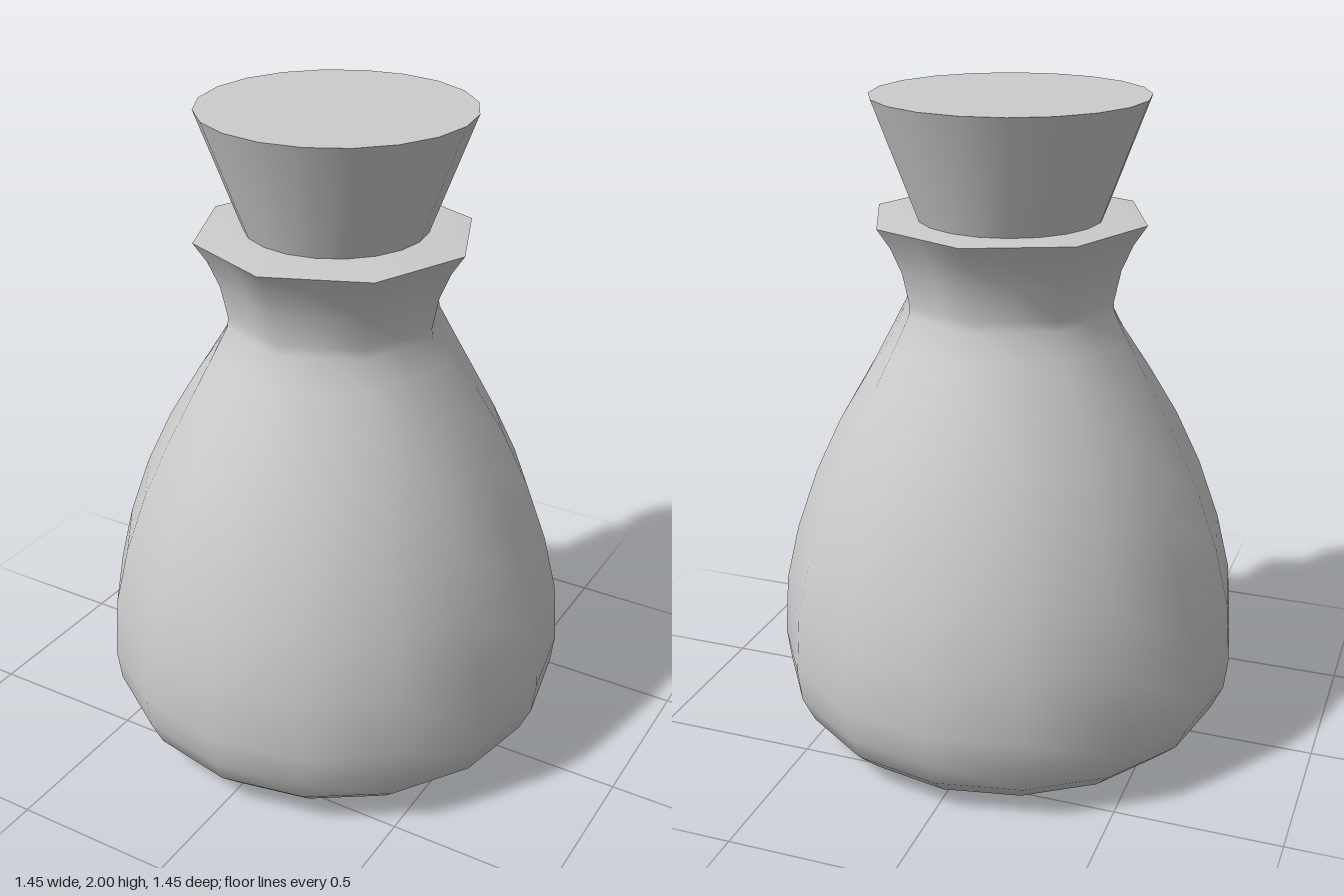
import * as THREE from 'three';
import { mergeVertices, toCreasedNormals } from 'three/addons/utils/BufferGeometryUtils.js';

const SIDES = 16;

// Radius and height from the centre of the base up to the closed mouth
const PROFILE = [
  [0, 0], [0.47, 0.005], [0.6, 0.03], [0.675, 0.1], [0.712, 0.18], [0.724, 0.28],
  [0.71, 0.47], [0.667, 0.65], [0.6, 0.84], [0.52, 1.01], [0.44, 1.16], [0.37, 1.29],
  [0.328, 1.37], [0.324, 1.4], [0.345, 1.5], [0.38, 1.58], [0.42, 1.64],
  [0.36, 1.645], [0, 1.645],
].map(([r, y]) => new THREE.Vector2(r, y));

// Sixteen-sided body that turns into an eight-sided neck
function makeBottle() {
  let geometry = new THREE.LatheGeometry(PROFILE, SIDES);
  const position = geometry.attributes.position;
  const flat = Math.cos(Math.PI / 8);
  for (let i = 0; i < position.count; i++) {
    const ring = Math.floor(i / PROFILE.length);
    if (ring % 2 === 0) continue;
    // Pull every second corner onto the straight side of the octagon
    const blend = THREE.MathUtils.smoothstep(position.getY(i), 1.05, 1.37);
    const k = THREE.MathUtils.lerp(1, flat, blend);
    position.setX(i, position.getX(i) * k);
    position.setZ(i, position.getZ(i) * k);
  }
  geometry.deleteAttribute('uv');
  geometry.deleteAttribute('normal');
  geometry = mergeVertices(geometry, 1e-4);
  return toCreasedNormals(geometry, 0.95);
}

export function createModel() {
  const model = new THREE.Group();
  model.name = 'stopperedBottle';
  const material = new THREE.MeshStandardMaterial({ color: 0xcccccc });

  const bottle = new THREE.Mesh(makeBottle(), material);
  bottle.name = 'bottle';
  model.add(bottle);

  // Tapered stopper, sitting slightly off centre in the mouth
  const stopper = new THREE.Mesh(new THREE.CylinderGeometry(0.407, 0.258, 0.4, 20), material);
  stopper.name = 'stopper';
  stopper.position.set(-0.012, 1.8, -0.029);
  model.add(stopper);

  return model;
}
